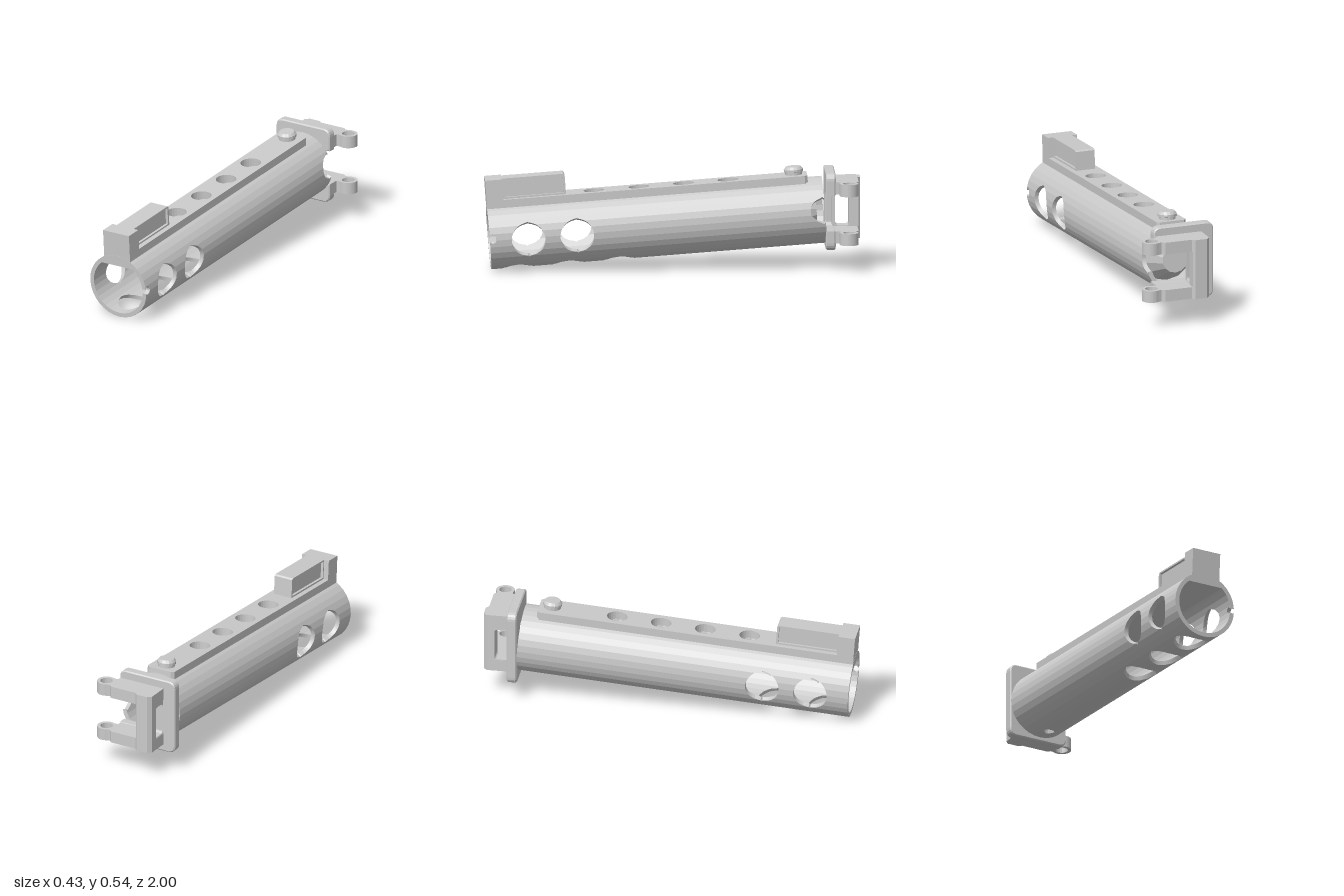
import * as THREE from 'three';

const gunmetal = new THREE.MeshStandardMaterial({ color: 0xcacaca, flatShading: true, side: THREE.DoubleSide });
gunmetal.name = 'light grey metal';

const R = 0.178, RI = 0.155, LEN = 1.787, TILT = 0.0735, RAIL = 0.0825;

function add(parent, name, geometry) {
  const mesh = new THREE.Mesh(geometry, gunmetal);
  mesh.name = name;
  parent.add(mesh);
  return mesh;
}

function polygon(points) {
  return new THREE.Shape(points.map(([x, y]) => new THREE.Vector2(x, y)));
}

function circle(x, y, r) {
  return new THREE.Path().absarc(x, y, r, 0, Math.PI * 2, true);
}

function extrude(shape, depth) {
  return new THREE.ExtrudeGeometry(shape, { depth, bevelEnabled: false, curveSegments: 12 });
}

// Plan outline (x, distance backwards) raised from y0 to y1
function planSolid(shape, y0, y1) {
  return extrude(shape, y1 - y0).rotateX(-Math.PI / 2).translate(0, y0, 0);
}

// Side outline (distance backwards, y) spread from x0 to x1
function sideSolid(shape, x0, x1) {
  return extrude(shape, x1 - x0).rotateY(Math.PI / 2).translate(x0, 0, 0);
}

// Hollow tube with drilled holes: each hole is [direction angle, z, radius]
function drilledTube(holes) {
  const sides = 32, sub = 4, pos = [];
  const point = (i, r, z) => {
    const k = Math.floor(i / sub), t = (i % sub) / sub, step = Math.PI * 2 / sides;
    const a = k * step, b = a + step;
    return [r * (Math.cos(a) * (1 - t) + Math.cos(b) * t), r * (Math.sin(a) * (1 - t) + Math.sin(b) * t), z];
  };
  const quad = (a, b, c, d) => pos.push(...a, ...b, ...c, ...a, ...c, ...d);
  const half = (i, [dir, , r]) => {
    const d = i / (sides * sub) * Math.PI * 2 - dir;
    return Math.cos(d) > 0 ? Math.sqrt(Math.max(0, r * r - (R * Math.sin(d)) ** 2)) : 0;
  };
  const clamp = z => Math.min(0, Math.max(-LEN, z));
  for (let i = 0; i < sides * sub; i++) {
    const j = i + 1;
    const cuts = holes.filter(h => half(i, h) + half(j, h) > 0).sort((a, b) => b[1] - a[1]);
    let front = [0, 0];
    for (const h of [...cuts, null]) {
      const back = h ? [clamp(h[1] + half(i, h)), clamp(h[1] + half(j, h))] : [-LEN, -LEN];
      if (front[0] - back[0] + front[1] - back[1] > 1e-6) {
        const o = [point(i, R, front[0]), point(j, R, front[1]), point(j, R, back[1]), point(i, R, back[0])];
        const n = [point(i, RI, front[0]), point(j, RI, front[1]), point(j, RI, back[1]), point(i, RI, back[0])];
        quad(o[0], o[3], o[2], o[1]);
        quad(n[0], n[1], n[2], n[3]);
        quad(o[0], o[1], n[1], n[0]);
        quad(o[3], n[3], n[2], o[2]);
      }
      if (h) front = [clamp(h[1] - half(i, h)), clamp(h[1] - half(j, h))];
    }
  }
  const g = new THREE.BufferGeometry();
  g.setAttribute('position', new THREE.Float32BufferAttribute(pos, 3));
  g.computeVertexNormals();
  return g;
}

function createBarrel() {
  const barrel = new THREE.Group();
  barrel.name = 'barrel';
  const railHoles = [0.575, 0.815, 1.053, 1.29];
  const up = Math.PI / 2;

  // Tube with side, bottom and top holes, a vent and the two edge notches
  const holes = [[-up, -1.68, 0.028], [0.04, -0.015, 0.022], [0.12, -LEN + 0.01, 0.066]];
  for (const dir of [-0.06, Math.PI + 0.06]) for (const z of [-0.205, -0.465]) holes.push([dir, z, 0.09]);
  for (const z of [-0.14, -0.41, -0.68]) holes.push([-up, z, 0.09]);
  for (const b of railHoles) holes.push([up, -b, 0.06]);
  add(barrel, 'tube', drilledTube(holes));

  // Cupped end wall inside the tube
  const cup = [[0, -1.745], [0.073, -1.745], [0.133, -1.63], [0.145, -1.6], [RI, -1.5]];
  add(barrel, 'endCup', new THREE.LatheGeometry(cup.map(p => new THREE.Vector2(...p)), 14).rotateX(up));

  // Flat inner roof below the rail, which closes the rail holes
  const segment = RI + 0.002, a = Math.asin(0.119 / segment);
  const roof = new THREE.Shape().absarc(0, 0, segment, a, Math.PI - a, false);
  add(barrel, 'innerRoof', extrude(roof, 1.72)).position.z = -1.72;

  // Top rail with round holes
  const rail = polygon([[-RAIL, 0.002], [RAIL, 0.002], [RAIL, 1.695], [RAIL - 0.015, 1.71], [-RAIL + 0.015, 1.71], [-RAIL, 1.695]]);
  for (const b of railHoles) rail.holes.push(circle(0, b, 0.055));
  add(barrel, 'topRail', planSolid(rail, 0.135, 0.2));

  // Button at the back of the rail
  const knob = [[0, 0.19], [0.045, 0.19], [0.045, 0.214], [0.051, 0.216], [0.051, 0.229], [0.04, 0.243], [0, 0.243]];
  add(barrel, 'button', new THREE.LatheGeometry(knob.map(p => new THREE.Vector2(...p)), 16)).position.z = -1.64;

  // Front block and the ridge with recessed side panels
  add(barrel, 'frontBlock', new THREE.BoxGeometry(RAIL * 2, 0.175, 0.09).translate(0, 0.2225, -0.046));
  add(barrel, 'ridgeCore', new THREE.BoxGeometry(0.08, 0.11, 0.33).translate(0, 0.25, -0.255));
  const frame = polygon([[0.085, 0.195], [0.425, 0.195], [0.425, 0.302], [0.417, 0.31], [0.085, 0.31]]);
  frame.holes.push(polygon([[0.098, 0.209], [0.098, 0.301], [0.414, 0.301], [0.414, 0.209]]));
  add(barrel, 'ridgeFrame', sideSolid(frame, -0.054, 0.054));

  barrel.position.set(-0.035, R, 0.975);
  barrel.rotation.x = TILT;
  return barrel;
}

function createHinge() {
  const hinge = new THREE.Group();
  hinge.name = 'rearHinge';

  // C-shaped plate, open towards the hinge eyes
  const b = 0.006, x0 = -0.215 + b, x1 = 0.125 - b, y0 = 0.11 + b, y1 = 0.524 - b, r = 0.035, c = 0.03;
  const plate = new THREE.Shape();
  plate.moveTo(x0 + r, y0).lineTo(x1 - r, y0);
  plate.quadraticCurveTo(x1, y0, x1, y0 + r).lineTo(x1, 0.21);
  plate.lineTo(-0.09 + c, 0.21).quadraticCurveTo(-0.09, 0.21, -0.09, 0.21 + c);
  plate.lineTo(-0.09, 0.41 - c).quadraticCurveTo(-0.09, 0.41, -0.09 + c, 0.41);
  plate.lineTo(x1, 0.41).lineTo(x1, y1 - r).quadraticCurveTo(x1, y1, x1 - r, y1);
  plate.lineTo(x0 + r, y1).quadraticCurveTo(x0, y1, x0, y1 - r);
  plate.lineTo(x0, y0 + r).quadraticCurveTo(x0, y0, x0 + r, y0);
  add(hinge, 'backPlate', new THREE.ExtrudeGeometry(plate, {
    depth: 0.04, bevelEnabled: true, bevelSize: b, bevelThickness: b, bevelSegments: 1, curveSegments: 5
  })).position.z = -0.857;

  // Upper and lower arms, each widening into an eye
  const arm = polygon([[0.12, 0.885], [0.12, 0.85], [-0.145, 0.85], [-0.145, 0.98], [-0.125, 1], [-0.06, 1],
    [-0.045, 0.985], [0.105, 0.985], [0.122, 0.97]]);
  arm.absarc(0.165, 0.932, 0.05, Math.PI * 2 / 3, -Math.PI * 2 / 3, true);
  arm.holes.push(circle(0.165, 0.932, 0.033));
  for (const [name, low, high] of [['upperArm', 0.412, 0.478], ['lowerArm', 0.15, 0.214]]) {
    add(hinge, name, planSolid(arm, low, high));
  }

  // Upright joining the arms
  const post = polygon([[-0.145, 0.94], [-0.05, 0.94], [-0.05, 0.99], [-0.06, 1], [-0.125, 1], [-0.145, 0.98]]);
  add(hinge, 'upright', planSolid(post, 0.2, 0.42));

  // Rounded slot between the upright and the plate
  const surround = polygon([[0.85, 0.205], [0.95, 0.205], [0.95, 0.42], [0.85, 0.42]]);
  const slot = new THREE.Path().moveTo(0.885, 0.217).lineTo(0.925, 0.217);
  slot.quadraticCurveTo(0.94, 0.217, 0.94, 0.232).lineTo(0.94, 0.377);
  slot.quadraticCurveTo(0.94, 0.392, 0.925, 0.392).lineTo(0.885, 0.392);
  slot.quadraticCurveTo(0.866, 0.392, 0.866, 0.373).lineTo(0.866, 0.236);
  slot.quadraticCurveTo(0.866, 0.217, 0.885, 0.217);
  surround.holes.push(slot);
  add(hinge, 'slotSurround', sideSolid(surround, -0.143, -0.06));
  return hinge;
}

export function createModel() {
  const model = new THREE.Group();
  model.name = 'ventedTube';
  model.add(createBarrel(), createHinge());
  return model;
}
